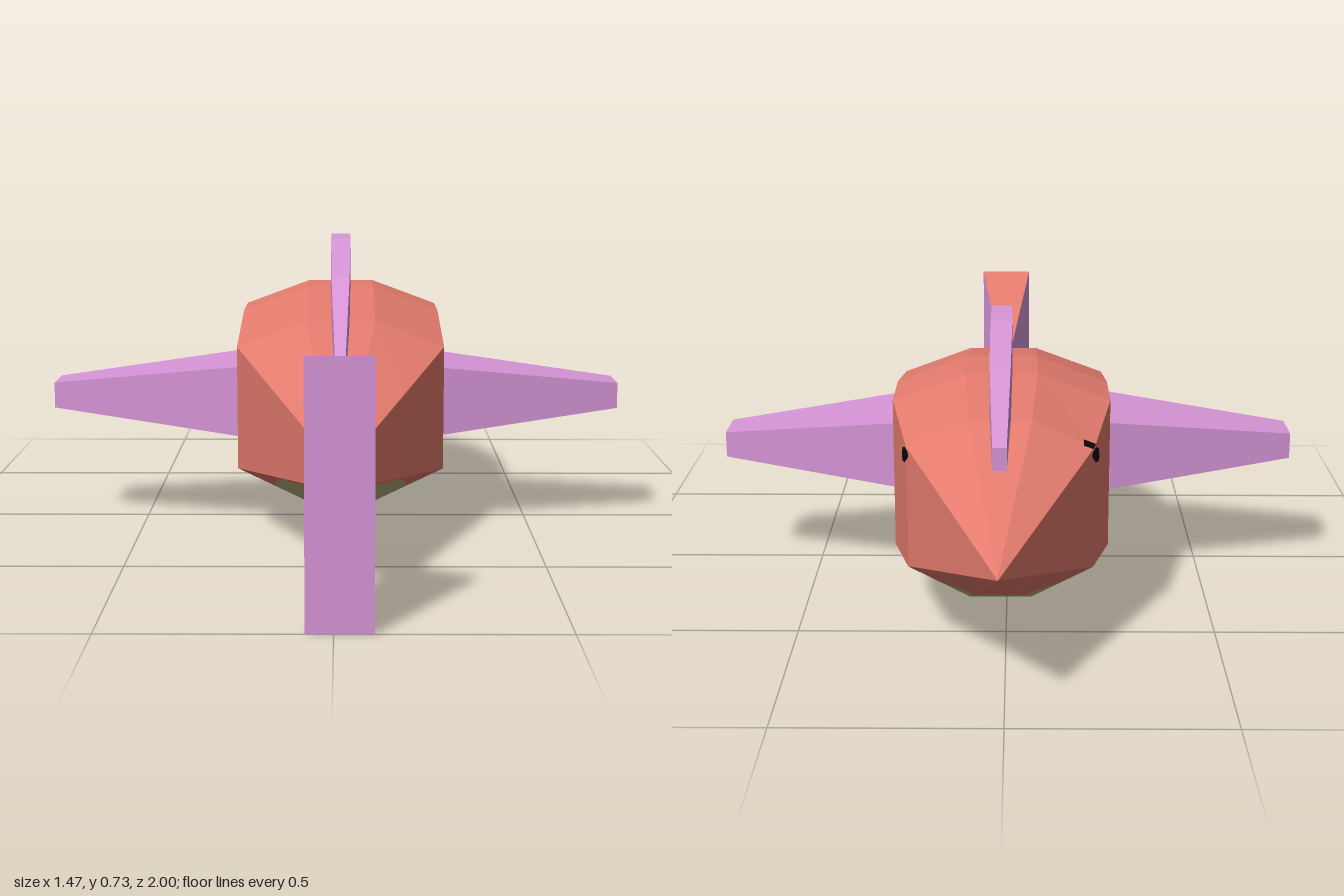
import * as THREE from 'three';

const mat = (name, color, extra = {}) => {
  const m = new THREE.MeshStandardMaterial({ color, ...extra });
  m.name = name;
  return m;
};

// Skin a list of rings [[x,y,z],...] running from +z to -z; pick(i, j) gives each strip's material index
function loft(rings, pick = () => 0) {
  const buckets = [];
  const tri = (m, ...pts) => (buckets[m] ??= []).push(...pts.flat());
  const n = rings[0].length;
  for (let i = 0; i < rings.length - 1; i++) {
    for (let j = 0; j < n; j++) {
      const k = (j + 1) % n, m = pick(i, j);
      const a = rings[i][j], b = rings[i][k], c = rings[i + 1][k], d = rings[i + 1][j];
      tri(m, a, d, c);
      tri(m, a, c, b);
    }
  }
  const first = rings[0], last = rings[rings.length - 1];
  for (let j = 1; j < n - 1; j++) {
    tri(0, first[0], first[j], first[j + 1]);
    tri(0, last[0], last[j + 1], last[j]);
  }
  const geo = new THREE.BufferGeometry();
  const pos = [];
  buckets.forEach((list, m) => {
    geo.addGroup(pos.length / 3, list.length / 3, m);
    pos.push(...list);
  });
  geo.setAttribute('position', new THREE.Float32BufferAttribute(pos, 3));
  geo.computeVertexNormals();
  return geo;
}

// Rectangular ring at z
const rect = (z, halfW, y0, y1) => [[halfW, y1, z], [-halfW, y1, z], [-halfW, y0, z], [halfW, y0, z]];

export function createModel() {
  const coral = mat('coral', 0xe37b6d);
  const purple = mat('purple', 0xd795d7);
  const olive = mat('belly olive', 0xc0b07e);
  const black = mat('eye black', 0x080808, { side: THREE.DoubleSide });

  const model = new THREE.Group();
  const spine = new THREE.Group();
  spine.name = 'spine';
  spine.position.x = 0.0125;
  model.add(spine);
  const add = (parent, name, geo, material) => {
    const mesh = new THREE.Mesh(geo, material);
    mesh.name = name;
    parent.add(mesh);
    return mesh;
  };

  // Body: z, half width, inner half width, top, shoulder, flank bottom, bottom, belly reach
  const stations = [
    [0.74, 0.045, 0.015, 0.345, 0.34, 0.25, 0.245, 0.5],
    [0.65, 0.078, 0.026, 0.375, 0.361, 0.236, 0.219, 0.5],
    [0.42, 0.163, 0.054, 0.451, 0.413, 0.201, 0.153, 0.85],
    [0.15, 0.2625, 0.0875, 0.54, 0.475, 0.16, 0.075, 0.47],
    [-0.16, 0.2625, 0.0875, 0.595, 0.53, 0.16, 0.075, 0.45],
    [-0.33, 0.2625, 0.0875, 0.595, 0.53, 0.16, 0.075, 0.5],
    [-0.57, 0.215, 0.072, 0.55, 0.487, 0.195, 0.12, 0.5],
    [-0.63, 0.185, 0.062, 0.52, 0.466, 0.215, 0.15, 0.15],
    [-1, 0.0005, 0.0003, 0.336, 0.3355, 0.3345, 0.334, 0.5],
  ];
  const bodyRings = stations.map(([z, w, v, top, sh, fl, bot, f]) => {
    const bx = v + (w - v) * f, by = bot + (fl - bot) * f;
    return [[v, top, z], [-v, top, z], [-w, sh, z], [-w, fl, z], [-bx, by, z],
      [-v, bot, z], [v, bot, z], [bx, by, z], [w, fl, z], [w, sh, z]];
  });
  const isBelly = (i, j) => (i >= 1 && i <= 6 && j >= 4 && j <= 6 ? 1 : 0);
  add(spine, 'body', loft(bodyRings, isBelly), [coral, olive]);

  // Back fin: z, half thickness, base, crest
  const crest = [
    [0.74, 0.004, 0.32, 0.358], [0.15, 0.023, 0.45, 0.655], [-0.16, 0.026, 0.5, 0.725],
    [-0.33, 0.026, 0.5, 0.725], [-0.57, 0.024, 0.48, 0.682], [-0.715, 0.016, 0.46, 0.53],
  ];
  add(spine, 'backFin', loft(crest.map(([z, w, y0, y1]) => rect(z, w, y0, y1))), purple);

  // Tail wedge with coral top and bottom
  const tail = loft([rect(1, 0.0725, 0, 0.58), rect(0.735, 0.006, 0.245, 0.345)],
    (i, j) => (j % 2 === 0 ? 1 : 0));
  add(spine, 'tailFin', tail, [purple, coral]);

  // Side fins
  for (const s of [1, -1]) {
    const geo = loft([rect(0.733, 0.058, 0.3, 0.366), rect(0.24, 0.158, 0.243, 0.424)]);
    const fin = add(model, s > 0 ? 'leftFin' : 'rightFin', geo, purple);
    fin.rotation.y = s * Math.PI / 2;
    fin.position.z = -0.006;
  }

  // Eyes: thin patches bent around the cheek edge at z = -0.57
  const flankX = (z) => (z > -0.57 ? 0.215 + (z + 0.57) * 0.198 : 0.215 * (1 + z) / 0.43) + 0.003;
  const outline = [[-0.515, 0.447], [-0.53, 0.44], [-0.57, 0.45], [-0.588, 0.468], [-0.586, 0.479],
    [-0.57, 0.487], [-0.53, 0.473]];
  for (const s of [1, -1]) {
    const pos = [];
    const at = ([z, y]) => [s * flankX(z), y, z];
    outline.forEach((p, i) => pos.push(...at([-0.57, 0.47]),
      ...(s > 0 ? [at(outline[(i + 1) % outline.length]), at(p)]
        : [at(p), at(outline[(i + 1) % outline.length])]).flat()));
    // The right eye folds slightly over the shoulder
    if (s < 0) pos.push(-0.218, 0.49, -0.555, -0.19, 0.504, -0.565, -0.212, 0.487, -0.585,
      -0.19, 0.504, -0.565, -0.19, 0.495, -0.585, -0.212, 0.487, -0.585);
    const geo = new THREE.BufferGeometry();
    geo.setAttribute('position', new THREE.Float32BufferAttribute(pos, 3));
    geo.computeVertexNormals();
    add(spine, s > 0 ? 'leftEye' : 'rightEye', geo, black);
  }
  return model;
}
